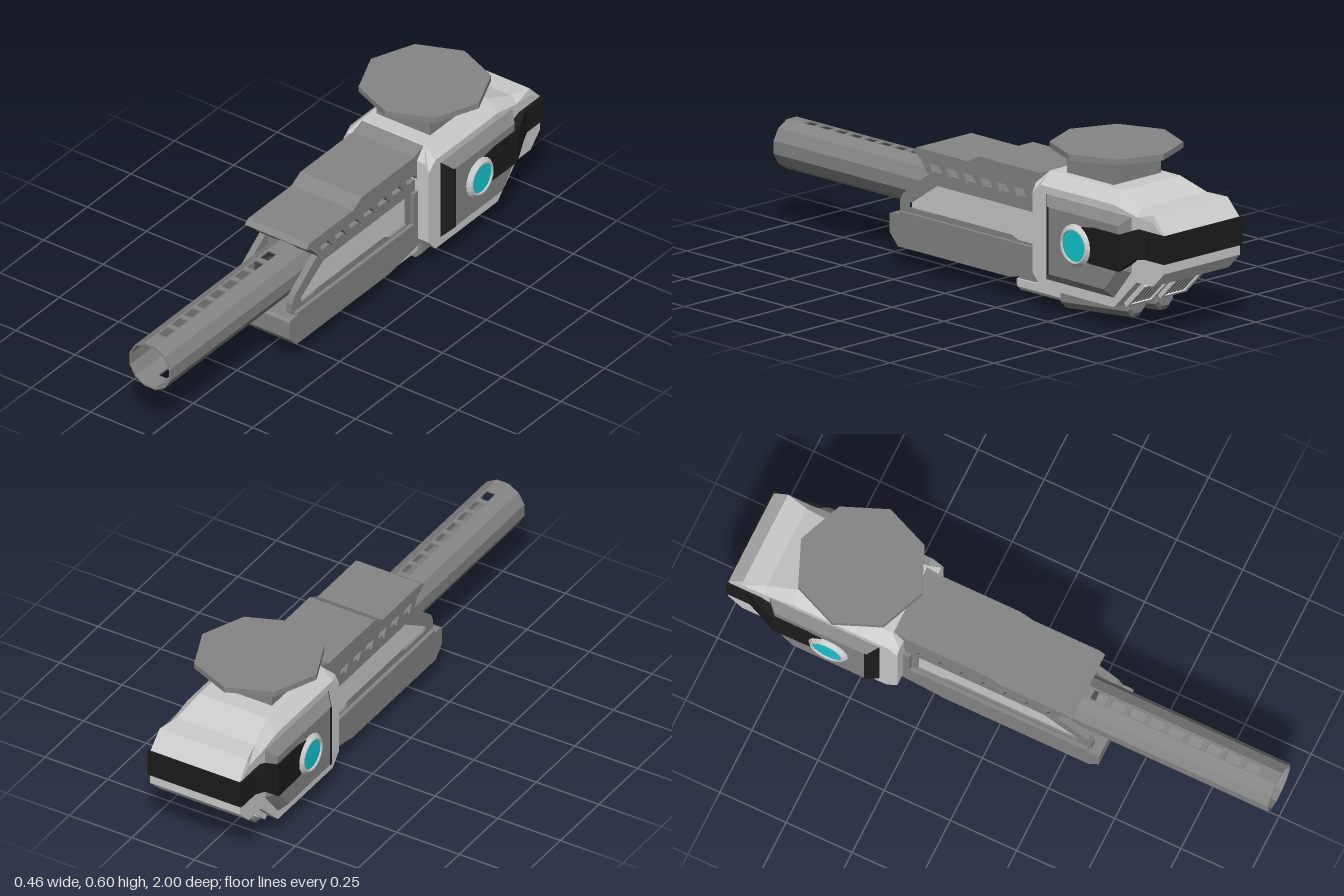
import * as THREE from 'three';

const mat = (color, side = THREE.FrontSide) =>
  new THREE.MeshStandardMaterial({ color, flatShading: true, side });
const LIGHT = mat(0xcccccc);
const GREY = mat(0x858585);
const GREY2 = mat(0x858585, THREE.DoubleSide);
const DARK = mat(0x4a4a4a, THREE.DoubleSide);
const BLACK = mat(0x1c1c1c);
const CYAN = mat(0x10c8d0);

const toPath = (pts, C = THREE.Shape) => new C(pts.map(p => new THREE.Vector2(...p)));

// Side profile of [z, y] points, extruded across x0..x1
function profile(pts, x0, x1, hole, bevel = 0) {
  const shape = toPath(pts);
  if (hole) shape.holes.push(toPath(hole, THREE.Path));
  const geo = new THREE.ExtrudeGeometry(shape, {
    depth: x1 - x0, bevelEnabled: bevel > 0, bevelThickness: bevel,
    bevelSize: bevel, bevelOffset: -bevel, bevelSegments: 1
  });
  return geo.rotateY(-Math.PI / 2).translate(x1, 0, 0);
}

// Skin over counter-clockwise rings { z, pts }, ordered from front to back
function loft(rings) {
  const v = [];
  const put = (r, j) => v.push(r.pts[j][0], r.pts[j][1], r.z);
  const n = rings[0].pts.length;
  for (let i = 0; i < rings.length - 1; i++) {
    const a = rings[i], b = rings[i + 1];
    for (let j = 0; j < n; j++) {
      const k = (j + 1) % n;
      put(a, j); put(b, j); put(b, k);
      put(a, j); put(b, k); put(a, k);
    }
  }
  const first = rings[0], last = rings[rings.length - 1];
  for (let j = 1; j < n - 1; j++) {
    put(first, 0); put(first, j); put(first, j + 1);
    put(last, 0); put(last, j + 1); put(last, j);
  }
  const geo = new THREE.BufferGeometry();
  geo.setAttribute('position', new THREE.Float32BufferAttribute(v, 3));
  geo.computeVertexNormals();
  return geo;
}

export function createModel() {
  const model = new THREE.Group();
  const add = (name, geo, material, x = 0, y = 0, z = 0, parent = model) => {
    const m = new THREE.Mesh(geo, material);
    m.name = name;
    m.position.set(x, y, z);
    parent.add(m);
    return m;
  };
  const box = (w, h, d) => new THREE.BoxGeometry(w, h, d);

  // Rear housing: z, bottom, shoulder, top, half width, top half width
  add('housing', loft([
    [-0.355, 0.135, 0.42, 0.45, 0.18, 0.165],
    [-0.395, 0.09, 0.452, 0.495, 0.18, 0.135],
    [-0.75, 0.09, 0.452, 0.495, 0.18, 0.135],
    [-0.86, 0.2, 0.43, 0.455, 0.18, 0.155],
    [-0.94, 0.2, 0.425, 0.45, 0.18, 0.175],
    [-0.995, 0.255, 0.38, 0.39, 0.18, 0.178]
  ].map(([z, b, s, t, w, wt]) => ({
    z, pts: [[-w, b], [w, b], [w, s], [wt, t], [-wt, t], [-w, s]]
  }))), LIGHT);

  // Bevelled cheeks on both sides of the housing
  add('sidePanels', profile(
    [[-0.425, 0.125], [-0.75, 0.125], [-0.835, 0.23], [-0.835, 0.425], [-0.425, 0.425]],
    -0.181, 0.181, null, 0.032), GREY);
  add('frontPanelEdges', loft([
    { z: -0.423, w: 0.181, b: 0.123, t: 0.427 },
    { z: -0.457, w: 0.2145, b: 0.156, t: 0.394 },
    { z: -0.465, w: 0.2145, b: 0.156, t: 0.394 }
  ].map(({ z, w, b, t }) => ({ z, pts: [[-w, b], [w, b], [w, t], [-w, t]] }))), BLACK);

  // Black band wrapping round the back
  add('rearBand', loft([
    [-0.6, 0.216, 0.24, 0.35], [-0.68, 0.218, 0.235, 0.365], [-0.81, 0.22, 0.235, 0.365],
    [-0.87, 0.203, 0.285, 0.39], [-0.91, 0.187, 0.29, 0.39], [-1, 0.187, 0.29, 0.39]
  ].map(([z, w, b, t]) => ({ z, pts: [[-w, b], [w, b], [w, t], [-w, t]] }))), BLACK);

  // Round side lights
  for (const s of [-1, 1]) {
    const light = new THREE.Group();
    light.name = 'sideLight';
    light.position.set(s * 0.205, 0.285, -0.6);
    light.rotation.z = -s * Math.PI / 2;
    model.add(light);
    const rim = [[0.075, 0], [0.075, 0.011], [0.062, 0.024], [0.056, 0.024], [0.054, 0.012]];
    add('lightRim', new THREE.LatheGeometry(rim.map(p => new THREE.Vector2(...p)), 20),
      mat(0xcccccc, THREE.DoubleSide), 0, 0, 0, light);
    add('lightLens', new THREE.CylinderGeometry(0.056, 0.056, 0.018, 20), CYAN, 0, 0.009, 0, light);
  }

  // Mount on top
  add('mountBlock', box(0.226, 0.1, 0.226), GREY, 0, 0.54, -0.567);
  add('mountPlate', new THREE.CylinderGeometry(0.228, 0.228, 0.021, 8), GREY, 0, 0.5955, -0.578);

  // Slotted vents on the sloping underside
  for (const s of [-1, 1]) {
    const vent = new THREE.Group();
    vent.name = 'vent';
    vent.position.set(s * 0.08, 0.145, -0.805);
    vent.rotation.x = -0.785;
    model.add(vent);
    add('ventBack', box(0.11, 0.11, 0.012), BLACK, 0, 0, 0, vent);
    for (const e of [-1, 1]) {
      add('ventSide', box(0.012, 0.125, 0.028), LIGHT, e * 0.057, 0, -0.004, vent);
      add('ventEnd', box(0.126, 0.012, 0.028), LIGHT, 0, e * 0.057, -0.004, vent);
    }
    for (let i = -2; i <= 2; i++)
      add('ventSlat', box(0.009, 0.104, 0.016), GREY, i * 0.018, 0, -0.005, vent);
  }

  // Top rail with a slanted tooth row beneath
  add('topRail', profile(
    [[0.225, 0.4], [-0.4, 0.4], [-0.4, 0.495], [-0.34, 0.473], [-0.04, 0.473],
      [0.01, 0.445], [0.26, 0.445], [0.28, 0.43]], -0.13, 0.13), GREY);
  for (let i = 0; i < 8; i++) {
    const z = 0.225 - i * 0.082;
    add('railTooth', profile(
      [[z - 0.042, 0.365], [z - 0.025, 0.402], [z + 0.012, 0.402], [z - 0.015, 0.365]],
      -0.13, 0.13), GREY);
  }

  // Middle body and its framed side plates
  add('core', box(0.21, 0.19, 0.57), GREY, 0, 0.279, -0.095);
  const outline = [[0.35, 0.2], [-0.37, 0.2], [-0.37, 0.372], [0.19, 0.372], [0.335, 0.268], [0.35, 0.24]];
  const opening = [[0.3, 0.222], [-0.19, 0.222], [-0.215, 0.195 + 0.015], [-0.305, 0.21],
    [-0.305, 0.325], [0.17, 0.325], [0.3, 0.24]];
  for (const s of [-1, 1]) {
    const span = (a, b) => s > 0 ? [a, b] : [-b, -a];
    add('sideFrame', profile(outline, ...span(0.098, 0.122), opening), GREY);
    add('sideInset', profile(opening, ...span(0.098, 0.114)), LIGHT);
    // Lower ledge along each side
    add('sideLedge', profile(
      [[0.34, 0.19], [-0.37, 0.19], [-0.37, 0.33], [-0.33, 0.33], [-0.33, 0.205], [0.34, 0.205]],
      ...span(0.115, 0.136)), GREY);
  }

  // Under tray
  add('underTray', profile(
    [[0.385, 0.19], [0.385, 0.122], [0.345, 0.08], [-0.19, 0.08], [-0.39, 0.115],
      [-0.39, 0.2], [0.37, 0.195]], -0.136, 0.136), GREY);

  // Twin pods and rods below
  const podRing = (z, b, t, w, c) => ({
    z, pts: [[-w + c, b], [w - c, b], [w, b + c], [w, t], [-w, t], [-w, b + c]]
  });
  for (const s of [-1, 1]) {
    add('pod', loft([podRing(-0.415, 0.004, 0.1, 0.041, 0.026),
      podRing(-0.74, 0.033, 0.1, 0.041, 0.026), podRing(-0.75, 0.05, 0.1, 0.036, 0.02)]),
    GREY, s * 0.066);
    add('podRod', loft([podRing(-0.175, 0.034, 0.06, 0.014, 0.006),
      podRing(-0.19, 0.022, 0.062, 0.024, 0.014), podRing(-0.42, 0.022, 0.068, 0.024, 0.014)]),
    LIGHT, s * 0.066);
    add('podBracket', profile([[-0.19, 0.082], [-0.19, 0.06], [-0.42, 0.06], [-0.42, 0.1]],
      s * 0.066 - 0.014, s * 0.066 + 0.014), GREY);
  }

  // Hollow twelve-sided barrel, slotted along the top and bottom
  const Y = 0.29, R = 0.09, z0 = 0.18, len = 1 - z0, step = Math.PI / 12;
  for (const r of [R, R - 0.006])
    for (const start of [step, Math.PI + step])
      add('barrelWall', new THREE.CylinderGeometry(r, r, len, 5, 1, true, start, 10 * step)
        .rotateX(Math.PI / 2), GREY2, 0, Y, z0 + len / 2);
  const hw = R * Math.sin(step), apothem = R * Math.cos(step);
  const rect = (w, a, b) => [[-w, a], [w, a], [w, b], [-w, b]];
  const strip = toPath(rect(hw, z0, 1));
  for (let i = 0; i < 9; i++) {
    const a = 0.295 + i * 0.0725;
    strip.holes.push(toPath(rect(0.0175, a, a + 0.052), THREE.Path));
  }
  const stripGeo = new THREE.ExtrudeGeometry(strip, { depth: 0.006, bevelEnabled: false })
    .rotateX(Math.PI / 2);
  add('barrelTopStrip', stripGeo, GREY2, 0, Y + apothem);
  add('barrelBottomStrip', stripGeo, GREY2, 0, Y - apothem + 0.006);
  add('muzzleRim', new THREE.RingGeometry(R - 0.006, R, 12, 1, step), GREY2, 0, Y, 1);

  // Glowing emitter deep in the barrel
  add('emitterCone', new THREE.CylinderGeometry(0.083, 0.045, 0.08, 12, 1, true, step)
    .rotateX(Math.PI / 2), DARK, 0, Y, 0.25);
  add('emitterRing', new THREE.RingGeometry(0.037, 0.046, 12), GREY2, 0, Y, 0.212);
  add('emitterLens', new THREE.CylinderGeometry(0.038, 0.038, 0.02, 20)
    .rotateX(Math.PI / 2), CYAN, 0, Y, 0.2);

  return model;
}
